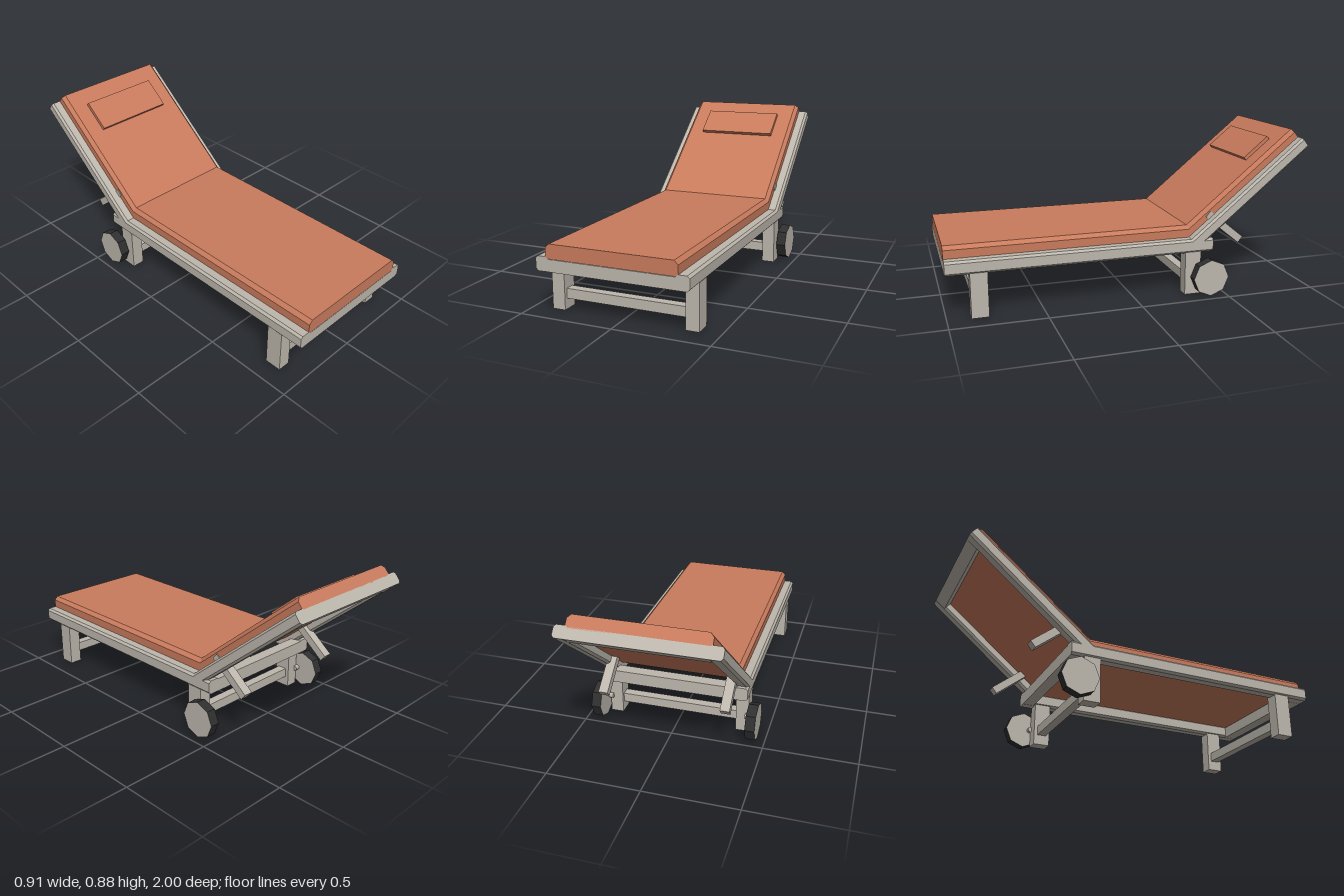
import * as THREE from 'three';

const ANGLE = THREE.MathUtils.degToRad(39.2);
const HINGE_Y = 0.375, HINGE_Z = -0.31;

const frame = new THREE.MeshStandardMaterial({ color: 0xbdb7ad });
frame.name = 'weathered wood';
const fabric = new THREE.MeshStandardMaterial({ color: 0xc97b5d });
fabric.name = 'terracotta fabric';
const rubber = new THREE.MeshStandardMaterial({ color: 0x2f2f2f });
rubber.name = 'black rubber';

function add(parent, name, geometry, material, x = 0, y = 0, z = 0) {
  const mesh = new THREE.Mesh(geometry, material);
  mesh.name = name;
  mesh.position.set(x, y, z);
  parent.add(mesh);
  return mesh;
}

// Box given by its limits on each axis
function block(parent, name, material, [x0, x1], [y0, y1], [z0, z1]) {
  return add(parent, name, new THREE.BoxGeometry(x1 - x0, y1 - y0, z1 - z0), material,
    (x0 + x1) / 2, (y0 + y1) / 2, (z0 + z1) / 2);
}

// Rail along z with chamfered long edges
function rail(parent, name, [x0, x1], [y0, y1], [z0, z1], c = 0.012) {
  const shape = new THREE.Shape([
    [x0 + c, y0], [x1 - c, y0], [x1, y0 + c], [x1, y1 - c],
    [x1 - c, y1], [x0 + c, y1], [x0, y1 - c], [x0, y0 + c],
  ].map(([x, y]) => new THREE.Vector2(x, y)));
  const geometry = new THREE.ExtrudeGeometry(shape, { depth: z1 - z0, bevelEnabled: false });
  return add(parent, name, geometry, frame, 0, 0, z0);
}

// Chamfered mattress section swept from the foot, round the hinge, to the head
function mattressGeometry() {
  const section = [
    [-0.335, -0.075], [0.335, -0.075], [0.345, -0.065], [0.345, -0.02],
    [0.325, 0], [-0.325, 0], [-0.345, -0.02], [-0.345, -0.065],
  ];
  const n = section.length, length = 0.792;
  const cos = Math.cos(ANGLE), sin = Math.sin(ANGLE);
  const stations = [
    (t) => [HINGE_Y + t, 1],
    (t) => [HINGE_Y + t, HINGE_Z + t * Math.tan(ANGLE / 2)],
    (t) => [HINGE_Y + length * sin + t * cos, HINGE_Z - length * cos + t * sin],
  ];
  const positions = [], index = [];
  for (const station of stations) {
    for (const [x, t] of section) positions.push(x, ...station(t));
  }
  for (let i = 0; i < stations.length - 1; i++) {
    for (let j = 0; j < n; j++) {
      const a = i * n + j, b = i * n + (j + 1) % n;
      index.push(a, a + n, b + n, a, b + n, b);
    }
  }
  const last = (stations.length - 1) * n;
  for (let j = 1; j < n - 1; j++) {
    index.push(0, j, j + 1, last, last + j + 1, last + j);
  }
  const indexed = new THREE.BufferGeometry();
  indexed.setAttribute('position', new THREE.Float32BufferAttribute(positions, 3));
  indexed.setIndex(index);
  const geometry = indexed.toNonIndexed();
  geometry.computeVertexNormals();
  return geometry;
}

export function createModel() {
  const model = new THREE.Group();
  model.name = 'sunLounger';

  // Reclined back: local -z runs up the backrest, y = 0 is the cushion surface
  const back = new THREE.Group();
  back.name = 'backrest';
  back.position.set(0, HINGE_Y, HINGE_Z);
  back.rotation.x = ANGLE;
  model.add(back);

  // Cushions
  add(model, 'mattress', mattressGeometry(), fabric);
  block(back, 'headPillow', fabric, [-0.232, 0.232], [-0.005, 0.02], [-0.688, -0.508]);

  // Cross bars of bed and backrest
  block(model, 'footCrossBar', frame, [-0.34, 0.34], [0.235, 0.298], [0.93, 1]);
  block(model, 'rearCrossBar', frame, [-0.34, 0.34], [0.235, 0.305], [-0.44, -0.375]);
  block(back, 'headCrossBar', frame, [-0.34, 0.34], [-0.12, -0.06], [-0.792, -0.722]);

  for (const side of [1, -1]) {
    const label = side > 0 ? 'left' : 'right';
    const span = (a, b) => (side > 0 ? [a, b] : [-b, -a]);

    // Long rails
    rail(model, label + 'BedRail', span(0.33, 0.4), [0.235, 0.31], [-0.44, 1]);
    rail(back, label + 'BackRail', span(0.33, 0.4), [-0.12, -0.055], [-0.792, 0.04]);

    // Legs
    block(model, label + 'FrontLeg', frame, span(0.325, 0.395), [0, 0.24], [0.787, 0.877]);
    block(model, label + 'RearLeg', frame, span(0.325, 0.395), [0, 0.24], [-0.37, -0.28]);

    // Prop strut sloping down behind the backrest
    const strut = add(model, label + 'PropStrut', new THREE.BoxGeometry(0.05, 0.042, 0.255),
      frame, side * 0.325, 0.352, -0.527);
    strut.rotation.x = -ANGLE;

    // Eight-sided wheel with pale faces
    const wheel = new THREE.CylinderGeometry(0.101, 0.101, 0.053, 8).toNonIndexed();
    wheel.computeVertexNormals();
    wheel.rotateZ(Math.PI / 2);
    add(model, label + 'Wheel', wheel, [rubber, frame, frame], side * 0.4285, 0.101, -0.41);
    const axle = new THREE.CylinderGeometry(0.015, 0.015, 0.03, 8).rotateZ(Math.PI / 2);
    add(model, label + 'Axle', axle, frame, side * 0.392, 0.101, -0.375);
  }

  // Stretchers between the legs
  for (const [name, z] of [['frontStretcher', 0.832], ['rearStretcher', -0.325]]) {
    block(model, name, frame, [-0.33, 0.33], [0.056, 0.108], [z - 0.025, z + 0.025]);
  }
  return model;
}
